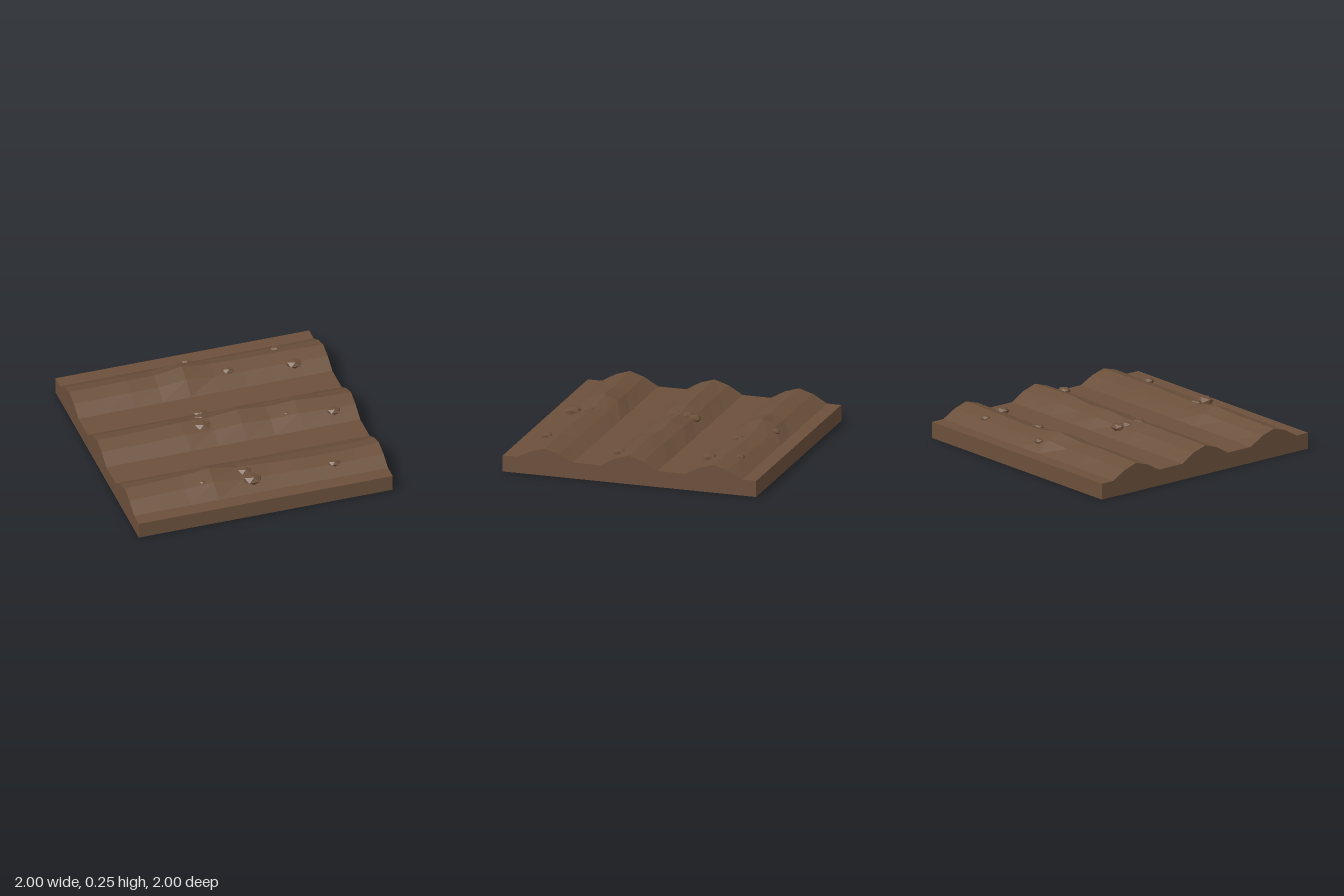
import * as THREE from 'three';

const FLOOR = 0.125;      // furrow height
const STEP = 2 / 18;      // grid spacing across the rows

// Crest height and sideways drift of each row, at ten stations along x
const ROWS = [
  { z: -0.667, crest: [0.222, 0.225, 0.23, 0.225, 0.252, 0.22, 0.215, 0.22, 0.22, 0.22],
    drift: [-0.002, 0.005, 0.007, 0, -0.013, -0.023, -0.019, -0.012, -0.005, 0] },
  { z: 0, crest: [0.225, 0.227, 0.23, 0.235, 0.222, 0.243, 0.226, 0.243, 0.232, 0.225],
    drift: [0, 0, -0.004, -0.012, -0.025, -0.03, -0.02, -0.01, 0, 0] },
  { z: 0.667, crest: [0.224, 0.23, 0.233, 0.248, 0.212, 0.21, 0.21, 0.207, 0.207, 0.212],
    drift: [0, -0.008, -0.017, -0.025, -0.022, -0.007, 0.008, 0.013, 0.01, 0] },
];

// Clods: x, y, z, half width
const CLODS = [
  [-0.03, 0.187, -0.81, 0.036], [0.66, 0.19, -0.76, 0.04],
  [0.23, 0.192, -0.605, 0.044], [0.73, 0.187, -0.545, 0.057],
  [-0.14, 0.19, -0.135, 0.052], [-0.16, 0.197, -0.07, 0.052],
  [-0.18, 0.197, 0.03, 0.058], [0.82, 0.188, 0.135, 0.048],
  [-0.06, 0.193, 0.68, 0.052], [-0.035, 0.187, 0.79, 0.066],
  [0.61, 0.187, 0.78, 0.042], [-0.41, 0.195, 0.73, 0.04], [0.47, 0.19, 0.065, 0.04],
];

// Slab whose top grid is raised into three wavering ridges
function ridgedGround() {
  const box = new THREE.BoxGeometry(2, FLOOR, 2, 9, 1, 18);
  box.translate(0, FLOOR / 2, 0);
  const p = box.attributes.position;
  for (let i = 0; i < p.count; i++) {
    if (p.getY(i) < FLOOR / 2) continue;
    const z = p.getZ(i);
    const station = Math.round((p.getX(i) + 1) * 4.5);
    for (const row of ROWS) {
      const steps = Math.round(Math.abs(z - row.z) / STEP);
      if (steps > 1) continue;
      const share = steps === 0 ? 1 : 0.65;
      p.setY(i, FLOOR + (row.crest[station] - FLOOR) * share);
      p.setZ(i, z + row.drift[station] * (steps === 0 ? 1 : 0.5));
    }
  }
  const flat = box.toNonIndexed();
  flat.computeVertexNormals();
  return flat;
}

export function createModel() {
  const model = new THREE.Group();
  model.name = 'ploughedSoilTile';

  const soil = new THREE.MeshStandardMaterial({ color: 0x6b503b });
  soil.name = 'brown soil';

  const ground = new THREE.Mesh(ridgedGround(), soil);
  ground.name = 'ridgedGround';
  model.add(ground);

  // Flattened low-poly clods resting half sunk in the ridges
  const clods = new THREE.Group();
  clods.name = 'clods';
  const clodShape = new THREE.IcosahedronGeometry(1 / 0.85, 0);
  clodShape.rotateY(Math.PI / 2);
  CLODS.forEach(([x, y, z, r], i) => {
    const clod = new THREE.Mesh(clodShape, soil);
    clod.name = `clod${i + 1}`;
    clod.position.set(x, y, z);
    clod.scale.set(r, r * 0.5, r * 0.85);
    clods.add(clod);
  });
  model.add(clods);

  return model;
}
